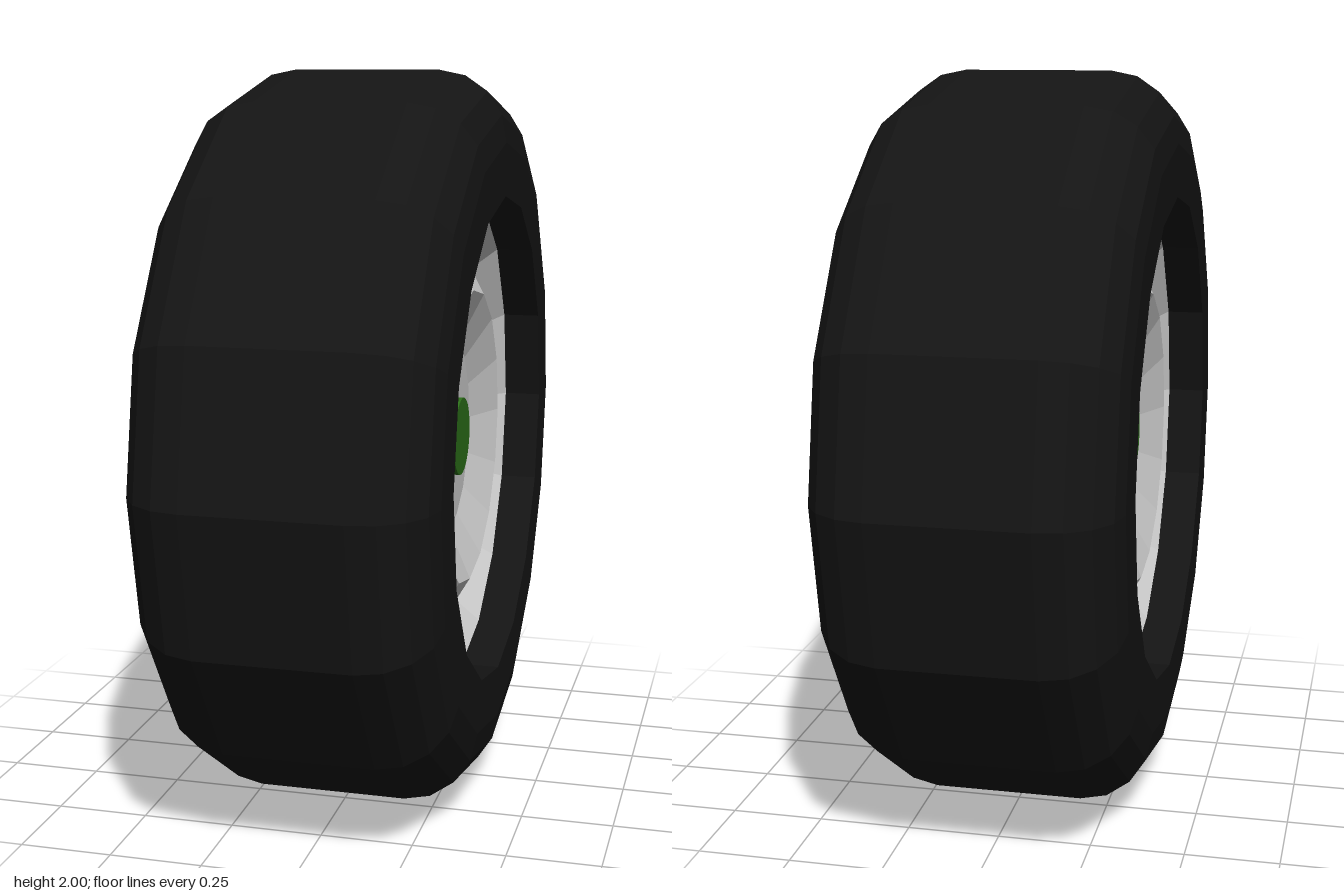
import * as THREE from 'three';

const SIDES = 16;

// Mirrors a half profile of [radius, x] (listed from the outer middle to the +x end) and spins it round the axle.
function spin(half, material, name) {
  const points = [
    ...half.slice().reverse().map(([r, x]) => new THREE.Vector2(r, -x)),
    ...half.map(([r, x]) => new THREE.Vector2(r, x)),
  ];
  const mesh = new THREE.Mesh(new THREE.LatheGeometry(points, SIDES), material);
  mesh.name = name;
  return mesh;
}

export function createModel() {
  const rubber = new THREE.MeshStandardMaterial({ color: 0x141414, flatShading: true, side: THREE.DoubleSide });
  const metal = new THREE.MeshStandardMaterial({ color: 0xcccccc, flatShading: true });
  const green = new THREE.MeshStandardMaterial({ color: 0x2c7019 });

  const wheel = new THREE.Group();
  wheel.name = 'wheel';

  // Tyre: flat tread, rounded shoulder, flat sidewall, then a straight inner lip
  const tyre = [];
  for (let i = 0; i <= 4; i++) {
    const a = (i / 4) * Math.PI / 2;
    tyre.push([0.81 + 0.19 * Math.cos(a), 0.2 + 0.185 * Math.sin(a)]);
  }
  tyre.push([0.667, 0.385], [0.667, 0.28]);
  wheel.add(spin(tyre, rubber, 'tyre'));

  // Rim: sloped lip, groove, raised ring and dished centre on both sides
  wheel.add(spin([[0.667, 0.28], [0.58, 0.2], [0.41, 0.3], [0.27, 0.24], [0, 0.24]], metal, 'rim'));

  // Hub caps
  for (const side of [1, -1]) {
    const cap = new THREE.Mesh(new THREE.CylinderGeometry(0.108, 0.108, 0.05, 32), green);
    cap.position.y = side * 0.248;
    cap.name = side > 0 ? 'leftHubCap' : 'rightHubCap';
    wheel.add(cap);
  }

  // Lay the axle along x and stand the wheel on the ground
  wheel.rotation.z = -Math.PI / 2;
  wheel.position.y = 1;

  const model = new THREE.Group();
  model.add(wheel);
  return model;
}
